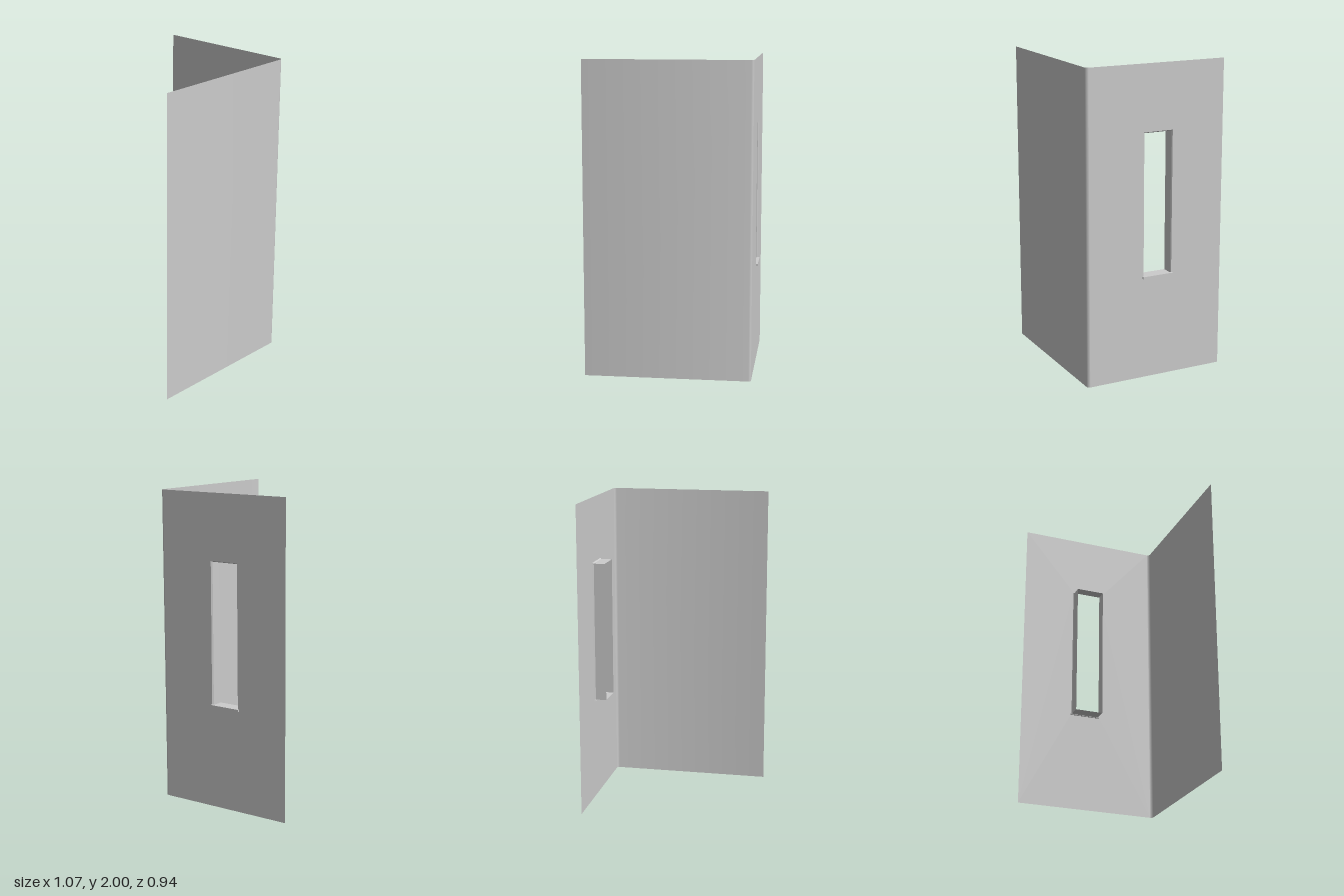
import * as THREE from 'three';

const material = new THREE.MeshStandardMaterial({ color: 0xcccccc, side: THREE.DoubleSide });

function addMesh(group, geometry, name) {
  const mesh = new THREE.Mesh(geometry, material);
  mesh.name = name;
  group.add(mesh);
}

// Joins rings of points (all the same length) with quads.
function skin(rings, closed) {
  const pos = [];
  const n = rings[0].length;
  for (let r = 0; r < rings.length - 1; r++) {
    for (let i = 0; i < (closed ? n : n - 1); i++) {
      const j = (i + 1) % n;
      const a = rings[r][i], b = rings[r][j], c = rings[r + 1][j], d = rings[r + 1][i];
      pos.push(...a, ...b, ...c, ...a, ...c, ...d);
    }
  }
  const geometry = new THREE.BufferGeometry();
  geometry.setAttribute('position', new THREE.Float32BufferAttribute(pos, 3));
  geometry.computeVertexNormals();
  return geometry;
}

// Rectangle in the plane of the window wall, counter-clockwise seen from +x.
const ring = (x, z0, z1, y0, y1) => [[x, y0, z1], [x, y0, z0], [x, y1, z0], [x, y1, z1]];

export function createModel() {
  const group = new THREE.Group();

  // Front wall with the softened corner: plan points x, z and normal angle
  const plan = [[-0.535, 0.47, 0], [0.503, 0.47, 11], [0.514, 0.465, 45], [0.519, 0.453, 80]];
  const pos = [], nor = [], index = [];
  plan.forEach(([x, z, deg], i) => {
    const a = THREE.MathUtils.degToRad(deg);
    for (const y of [0, 2]) {
      pos.push(x, y, z);
      nor.push(Math.sin(a), 0, Math.cos(a));
    }
    if (i < plan.length - 1) {
      const k = i * 2;
      index.push(k, k + 2, k + 3, k, k + 3, k + 1);
    }
  });
  const front = new THREE.BufferGeometry();
  front.setAttribute('position', new THREE.Float32BufferAttribute(pos, 3));
  front.setAttribute('normal', new THREE.Float32BufferAttribute(nor, 3));
  front.setIndex(index);
  addMesh(group, front, 'frontWall');

  // Side wall with the window opening
  const rect = (Type, u0, u1, y0, y1) => new Type([
    new THREE.Vector2(u0, y0), new THREE.Vector2(u1, y0),
    new THREE.Vector2(u1, y1), new THREE.Vector2(u0, y1),
  ]);
  const wall = rect(THREE.Shape, -0.453, 0.47, 0, 2);
  wall.holes.push(rect(THREE.Path, -0.085, 0.115, 0.663, 1.582));
  const side = new THREE.ShapeGeometry(wall).rotateY(Math.PI / 2).translate(0.519, 0, 0);
  addMesh(group, side, 'windowWall');

  // Window reveal reaching inwards, with a small eased outer edge
  addMesh(group, skin([
    ring(0.519, -0.115, 0.085, 0.663, 1.582),
    ring(0.511, -0.11, 0.077, 0.668, 1.576),
    ring(0.44, -0.11, 0.077, 0.668, 1.576),
  ], true), 'windowReveal');

  // Projecting sill, flared out to a narrow nose
  const nose = ring(0.532, -0.124, 0.089, 0.655, 0.67);
  const heel = ring(0.511, -0.111, 0.076, 0.657, 0.67);
  addMesh(group, skin([heel, ring(0.521, -0.124, 0.089, 0.655, 0.67), nose], true), 'sill');
  addMesh(group, skin([[nose[0], nose[1]], [nose[3], nose[2]]], false), 'sillNose');

  return group;
}
